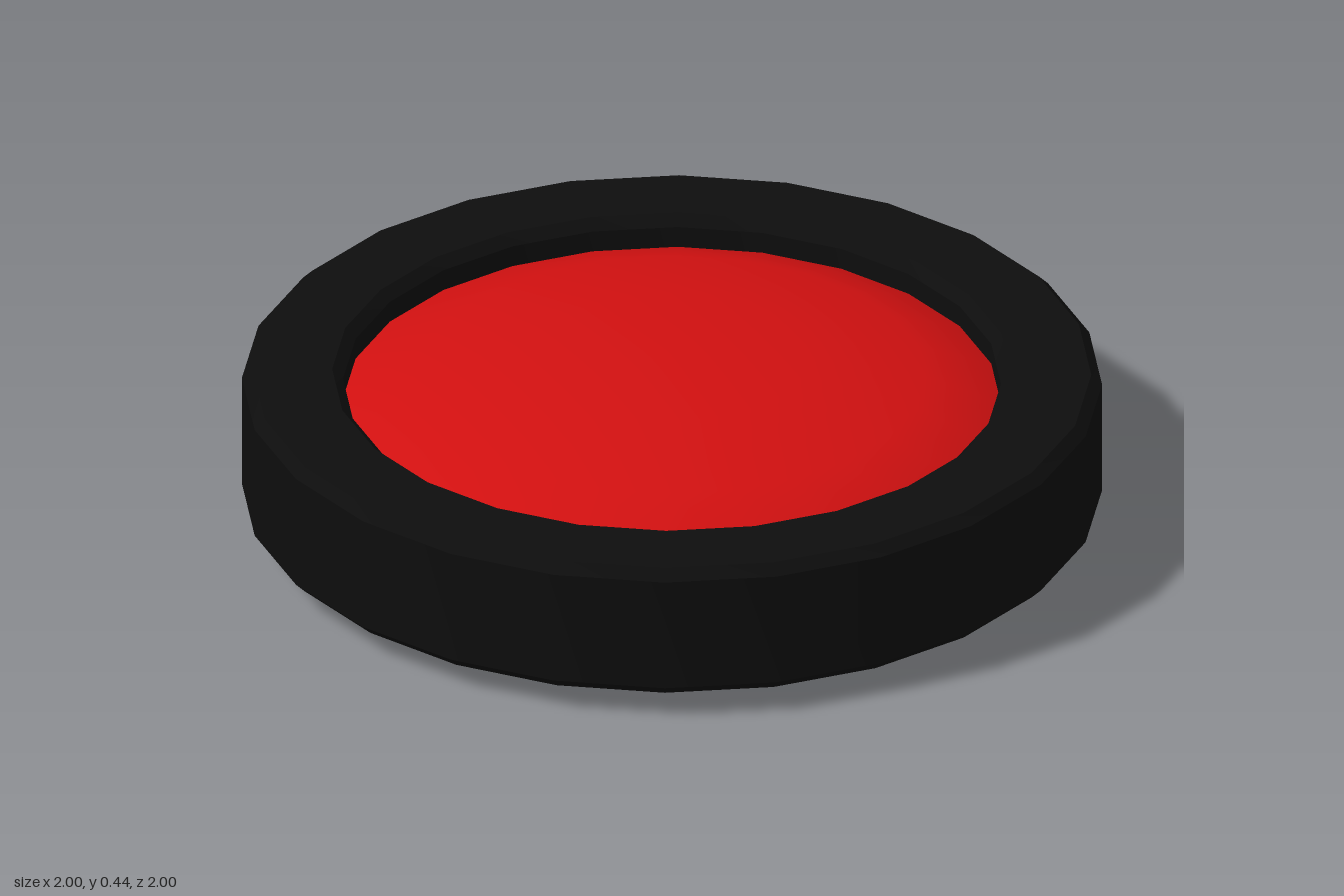
import * as THREE from 'three';
import { toCreasedNormals } from 'three/addons/utils/BufferGeometryUtils.js';

const SIDES = 24;
const MID = 0.22; // height of the middle plane

export function createModel() {
  const model = new THREE.Group();

  // Chamfered rim: closed profile turned around the y axis
  const half = 0.164, outer = 1, inner = 0.765, bevel = 0.025;
  const profile = [
    [outer, -half + bevel], [outer, half - bevel], [outer - bevel, half],
    [inner + bevel, half], [inner, half - bevel], [inner, -half + bevel],
    [inner + bevel, -half], [outer - bevel, -half], [outer, -half + bevel],
  ].map(([r, y]) => new THREE.Vector2(r, y));
  const rim = new THREE.Mesh(
    toCreasedNormals(new THREE.LatheGeometry(profile, SIDES), 0.5),
    new THREE.MeshStandardMaterial({ color: 0x0d0d0d })
  );
  rim.name = 'rim';
  rim.position.y = MID;
  model.add(rim);

  // Domed lens: flattened sphere whose edge is buried in the rim
  const lensGeometry = new THREE.SphereGeometry(1, SIDES, 8);
  lensGeometry.scale(0.836, MID, 0.836);
  const lens = new THREE.Mesh(
    lensGeometry,
    new THREE.MeshStandardMaterial({ color: 0xd01010 })
  );
  lens.name = 'lens';
  lens.position.y = MID;
  model.add(lens);

  return model;
}
